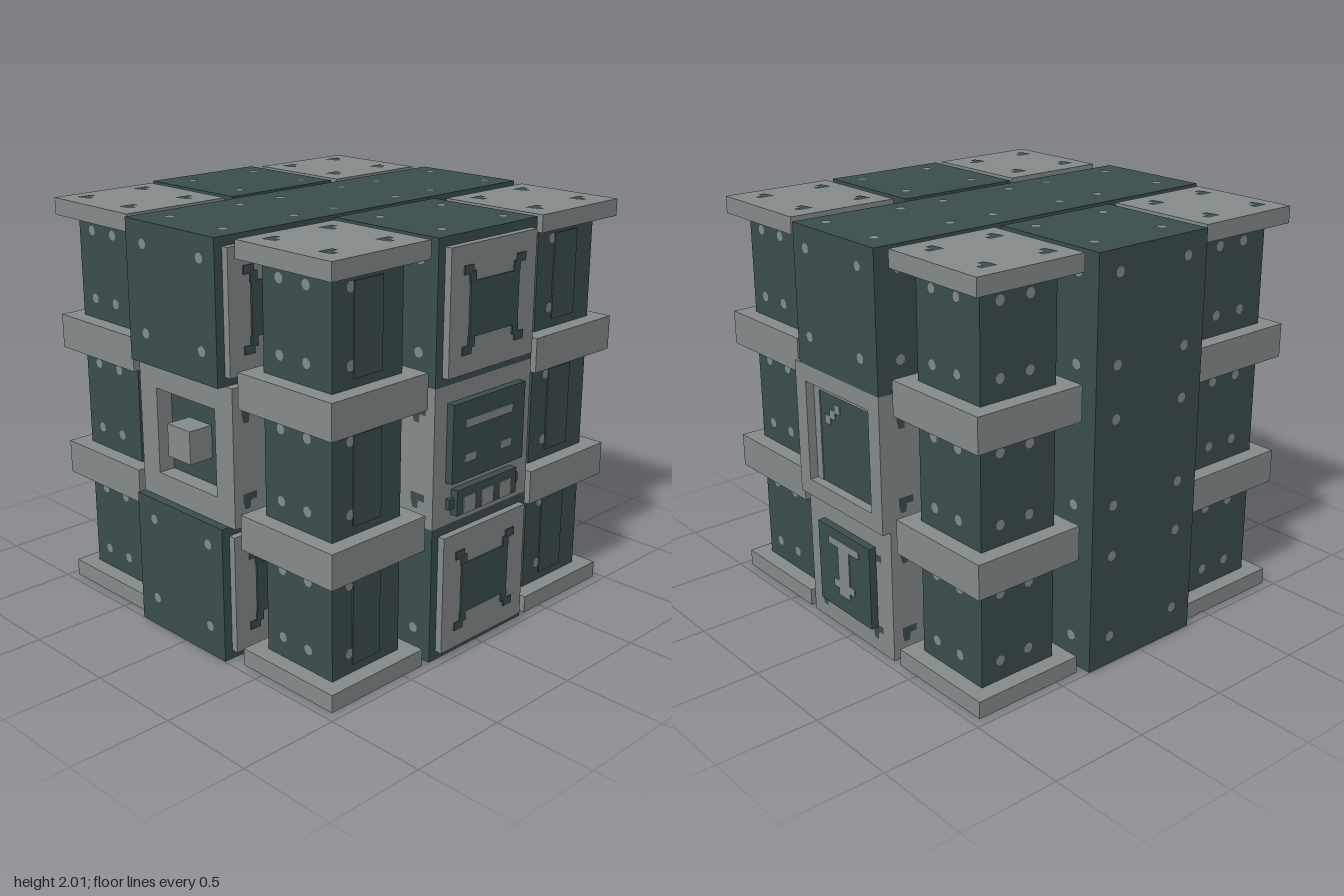
import * as THREE from 'three';

const C = 2 / 3, H = 1 / 3; // cell size and half cell
const P = Math.PI / 2;
const dark = new THREE.MeshStandardMaterial({ color: 0x3b4f4d });
dark.name = 'dark teal';
const grey = new THREE.MeshStandardMaterial({ color: 0x868c8c });
grey.name = 'steel grey';

// Box given by its limits on each axis
function box(parent, name, mat, x0, x1, y0, y1, z0, z1) {
  const m = new THREE.Mesh(new THREE.BoxGeometry(x1 - x0, y1 - y0, z1 - z0), mat);
  m.position.set((x0 + x1) / 2, (y0 + y1) / 2, (z0 + z1) / 2);
  m.name = name;
  parent.add(m);
  return m;
}

// Flat marks: round rivets and L-shaped brackets
const rivetGeo = new THREE.CircleGeometry(0.025, 8, Math.PI / 8);
const bracketGeo = new THREE.ShapeGeometry(new THREE.Shape(
  [[-0.04, 0.035], [-0.04, -0.005], [-0.03, -0.04], [0, -0.04], [0.005, 0], [0.04, 0], [0.04, 0.035]]
    .map(([x, y]) => new THREE.Vector2(x, y))));
const faces = {
  front: [0, 0], right: [0, P], back: [0, 2 * P], left: [0, -P], top: [-P, 0], bottom: [P, 0],
};
function marks(parent, name, mat, geo, face, dist, us, vs) {
  const rot = new THREE.Euler(faces[face][0], faces[face][1], 0);
  for (const u of us) for (const v of vs) {
    const m = new THREE.Mesh(geo, mat);
    m.position.set(u, v, dist + 0.003).applyEuler(rot);
    m.rotation.copy(rot);
    m.name = name;
    parent.add(m);
  }
}

// Square frame facing +z
function frame(parent, name, mat, half, hole, z0, z1) {
  const sq = (C, h) => new C([[-h, -h], [h, -h], [h, h], [-h, h]].map(([x, y]) => new THREE.Vector2(x, y)));
  const shape = sq(THREE.Shape, half);
  shape.holes.push(sq(THREE.Path, hole));
  const m = new THREE.Mesh(new THREE.ExtrudeGeometry(shape, { depth: z1 - z0, bevelEnabled: false }), mat);
  m.position.z = z0;
  m.name = name;
  parent.add(m);
}

// Dark riveted block with a screen on its front
function screenBlock(g) {
  box(g, 'blockBody', dark, -H, H, -H, H, -H, 0.29);
  box(g, 'screenPlate', grey, -0.29, 0.29, -0.29, 0.29, 0.29, 0.325);
  box(g, 'screen', dark, -0.165, 0.165, -0.125, 0.125, 0.325, H);
  for (const sx of [-1, 1]) for (const sy of [-1, 1]) {
    const clip = new THREE.Group();
    clip.name = 'screenClip';
    box(clip, 'clipFoot', dark, -0.02, 0.02, -0.025, 0.025, 0.325, H - 0.001);
    box(clip, 'clipToe', dark, -0.03, 0.03, -0.02, 0.02, 0.325, H - 0.002);
    clip.children[0].position.set(sx * 0.15, sy * 0.145, 0.329);
    clip.children[1].position.set(sx * 0.178, sy * 0.18, 0.329);
    g.add(clip);
  }
  for (const f of ['left', 'right'])
    marks(g, 'rivet', grey, rivetGeo, f, H, f === 'right' ? [-0.19, 0.21] : [-0.21, 0.19], [0.23, -0.185]);
  marks(g, 'rivet', grey, rivetGeo, 'back', H, [-0.21, 0.21], [0.23, -0.185]);
  marks(g, 'rivet', grey, rivetGeo, 'top', H, [-0.19, 0.225], [0.19, -0.18]);
}

// Grey body shared by the special blocks
function greyBody(g, z1) {
  box(g, 'blockBody', grey, -H, H, -H, H, -H, z1);
  for (const f of ['left', 'right', 'back'])
    marks(g, 'bracket', dark, bracketGeo, f, H, [-0.2, 0.2], [-0.21, 0.2]);
}

// Control block: display with bars above a row of three keys
function controlBlock(g) {
  greyBody(g, 0.29);
  box(g, 'display', dark, -0.25, 0.25, -0.125, 0.25, 0.29, 0.328);
  box(g, 'displayBar', grey, -0.17, 0.16, 0.125, 0.165, 0.328, H);
  for (const x of [-0.13, 0.12]) box(g, 'displayMark', grey, x - 0.04, x + 0.04, -0.04, 0, 0.328, H);
  box(g, 'keyPanel', dark, -0.21, 0.21, -0.29, -0.165, 0.29, 0.328);
  for (const x of [-0.127, 0, 0.127]) box(g, 'key', grey, x - 0.042, x + 0.042, -0.288, -0.205, 0.328, H);
  for (const s of [-1, 1]) box(g, 'keyPanelClip', dark, s * 0.225 - 0.02, s * 0.225 + 0.02, -0.255, -0.205, 0.29, 0.31);
}

// Window block: recessed pane with pale edges and a stepped glint
function windowBlock(g) {
  greyBody(g, 0.26);
  frame(g, 'windowFrame', grey, H, 0.25, 0.26, H);
  box(g, 'pane', dark, -0.25, 0.25, -0.25, 0.25, 0.26, 0.285);
  box(g, 'paneEdgeSide', grey, -0.25, -0.205, -0.25, 0.25, 0.285, 0.29);
  box(g, 'paneEdgeTop', grey, -0.205, 0.25, 0.21, 0.25, 0.285, 0.29);
  for (let i = 0; i < 3; i++) {
    const x = -0.145 + i * 0.04, y = 0.077 + i * 0.035;
    box(g, 'glint', grey, x - 0.022, x + 0.022, y - 0.022, y + 0.022, 0.285, 0.289 + i * 0.0005);
  }
}

// Panel block: raised dark plate with a pillar-shaped relief
function panelBlock(g) {
  greyBody(g, 0.29);
  marks(g, 'bracket', dark, bracketGeo, 'front', 0.29, [-0.215, 0.215], [-0.225, 0.15]);
  box(g, 'panel', dark, -0.21, 0.21, -0.205, 0.215, 0.29, 0.328);
  box(g, 'reliefTop', grey, -0.12, 0.125, 0.13, 0.168, 0.328, H);
  box(g, 'reliefStem', grey, -0.045, 0.045, -0.12, 0.13, 0.328, H);
  for (const s of [-1, 1]) box(g, 'reliefFoot', grey, s * 0.065 - 0.02, s * 0.065 + 0.02, -0.085, -0.045, 0.328, H);
}

// Knob block: deep square recess with a cube in the middle
function knobBlock(g) {
  greyBody(g, 0.2);
  frame(g, 'recessFrame', grey, H, 0.21, 0.2, 0.29);
  box(g, 'recessFloor', dark, -0.21, 0.21, -0.21, 0.21, 0.2, 0.205);
  box(g, 'knob', grey, -0.08, 0.08, -0.08, 0.08, 0.205, H);
}

// Corner column segment: riveted core between two slabs
function columnSegment(g, isTop, isBottom) {
  box(g, 'columnCore', dark, -0.21, 0.21, -0.25, 0.25, -0.21, 0.21);
  box(g, 'corePanel', dark, -0.088, 0.082, -0.207, 0.21, 0.21, 0.217);
  box(g, 'lowerSlab', grey, -0.29, 0.29, -H, -0.248, -0.29, 0.29);
  box(g, 'upperSlab', grey, -0.29, 0.29, 0.25, H, -0.29, 0.29);
  for (const f of ['front', 'right', 'back', 'left'])
    marks(g, 'rivet', grey, rivetGeo, f, 0.21, f === 'front' ? [-0.105] : [-0.105, 0.06], [0.188, -0.147]);
  if (isTop) marks(g, 'bracket', dark, bracketGeo, 'top', H, [-0.172, 0.158], [0.175, -0.165]);
  if (isBottom) marks(g, 'rivet', dark, rivetGeo, 'bottom', H, [-0.172, 0.158], [0.17, -0.17]);
}

export function createModel() {
  const model = new THREE.Group();
  model.name = 'blockMachine';
  const cell = (name, ix, iy, iz, build, turn = 0) => {
    const g = new THREE.Group();
    g.name = name;
    g.position.set(ix * C, 1 + iy * C, iz * C);
    g.rotation.y = turn;
    build(g);
    model.add(g);
  };

  for (let iy = -1; iy <= 1; iy++) {
    for (const ix of [-1, 1]) for (const iz of [-1, 1])
      cell('cornerColumn', ix, iy, iz, g => {
        columnSegment(g, iy === 1, iy === -1);
        g.position.z -= 0.003;
      });
    cell('backBlock', 0, iy, -1, screenBlock);
  }
  cell('centreTopBlock', 0, 1, 0, screenBlock);
  for (const iy of [-1, 1]) {
    cell('frontBlock', 0, iy, 1, screenBlock);
    cell('rightSideBlock', -1, iy, 0, screenBlock);
  }
  cell('leftSideTopBlock', 1, 1, 0, screenBlock);
  cell('controlBlock', 0, 0, 1, controlBlock);
  cell('windowBlock', 1, 0, 0, windowBlock, P);
  cell('panelBlock', 1, -1, 0, panelBlock, P);
  cell('knobBlock', -1, 0, 0, knobBlock, -P);
  return model;
}
